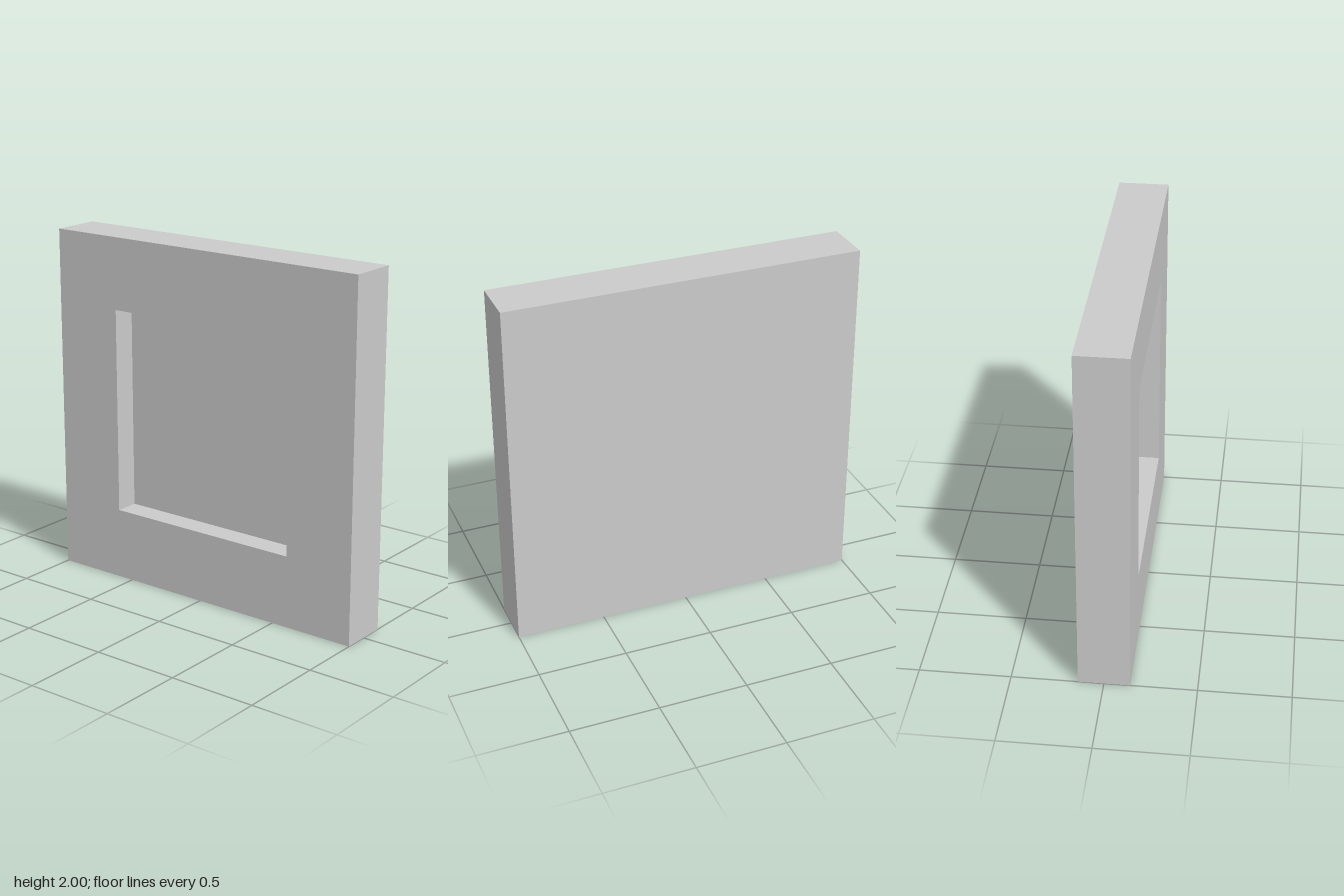
import * as THREE from 'three';

const HALF = 1;        // half width of the square panel
const DEPTH = 0.14;    // half thickness
const OPENING = 0.59;  // half width of the recess
const FLOOR = 0.005;   // z of the recess floor

export function createModel() {
  const group = new THREE.Group();
  group.name = 'recessedPanel';

  // Half section from back centre, round the rim, to the recess floor centre
  const section = [
    [0, -DEPTH], [HALF, -DEPTH], [HALF, DEPTH],
    [OPENING, DEPTH], [OPENING, FLOOR], [0, FLOOR],
  ].map(([r, y]) => new THREE.Vector2(r * Math.SQRT2, y));

  // Four-sided lathe gives one closed square body; its axis is turned to face +z
  const lathe = new THREE.LatheGeometry(section, 4, Math.PI / 4);
  lathe.rotateX(Math.PI / 2);
  const geometry = lathe.toNonIndexed();
  geometry.computeVertexNormals();

  const panel = new THREE.Mesh(
    geometry,
    new THREE.MeshStandardMaterial({ color: 0xcccccc, flatShading: true }),
  );
  panel.name = 'panelWithSquareRecess';
  panel.position.y = HALF;
  group.add(panel);
  return group;
}
